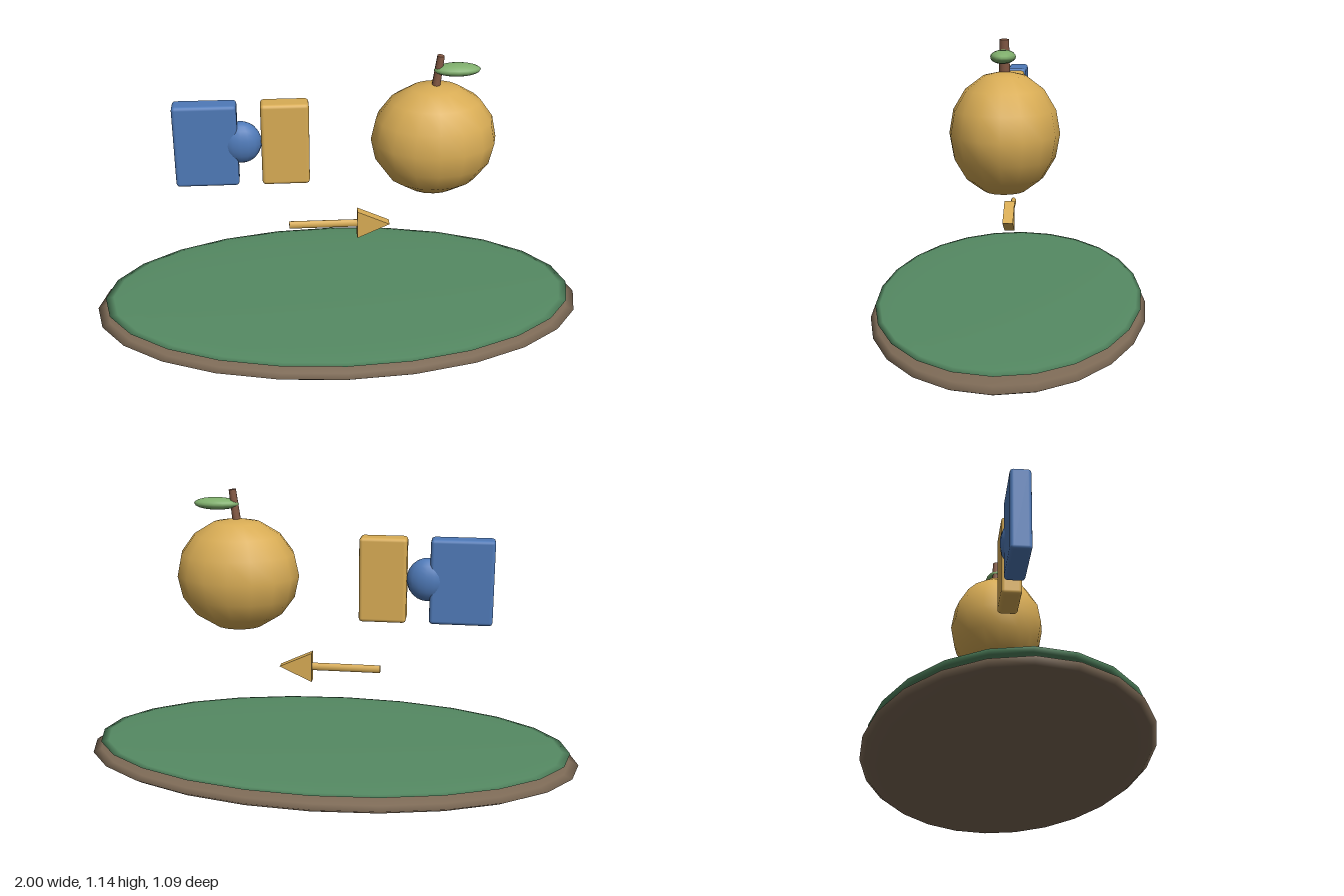
import * as THREE from 'three';
import { RoundedBoxGeometry } from 'three/addons/geometries/RoundedBoxGeometry.js';

const mat = (color, flatShading = false) => new THREE.MeshStandardMaterial({ color, flatShading });
const GOLD = 0xd8ac55, BLUE = 0x4f7ab8, GREEN = 0x558a63, LEAF = 0x7fae6c, EARTH = 0x7d6a56, BARK = 0x855a45;

export function createModel() {
  const group = new THREE.Group();

  const add = (name, geometry, material, x, y, z = 0) => {
    const mesh = new THREE.Mesh(geometry, material);
    mesh.name = name;
    mesh.position.set(x, y, z);
    group.add(mesh);
    return mesh;
  };
  // Sphere squashed to three radii
  const ellipsoid = (name, color, [x, y], [rx, ry, rz], sides, rings) =>
    add(name, new THREE.SphereGeometry(1, sides, rings).scale(rx, ry, rz), mat(color), x, y);

  // Oval ground: earth disc with a thin grass layer on top
  ellipsoid('groundBase', EARTH, [0, 0.058], [1, 0.058, 0.545], 24, 12);
  ellipsoid('grassTop', GREEN, [0, 0.105], [0.965, 0.017, 0.527], 24, 12);

  // Two floating panels joined by a round knob
  const panel = (name, color, x0, x1) =>
    add(name, new RoundedBoxGeometry(x1 - x0, 0.335, 0.08, 2, 0.014), mat(color), (x0 + x1) / 2, 0.797);
  panel('bluePanel', BLUE, -0.635, -0.39);
  panel('goldPanel', GOLD, -0.3, -0.115);
  ellipsoid('knob', BLUE, [-0.378, 0.8], [0.08, 0.085, 0.053], 16, 12);

  // Arrow pointing to +x: round shaft and a flat triangular head
  add('arrowShaft', new THREE.CylinderGeometry(0.016, 0.016, 0.28, 12).rotateZ(Math.PI / 2).scale(1, 1, 0.7),
    mat(GOLD), -0.06, 0.425);
  const tip = new THREE.Shape([[0, -0.06], [0.13, 0], [0, 0.06]].map(([x, y]) => new THREE.Vector2(x, y)));
  add('arrowHead', new THREE.ExtrudeGeometry(tip, { depth: 0.04, bevelEnabled: false }).translate(0, 0, -0.02),
    mat(GOLD, true), 0.075, 0.425);

  // Fruit with a tilted stem and a leaf
  ellipsoid('fruit', GOLD, [0.37, 0.798], [0.245, 0.225, 0.2], 16, 8);
  const stem = add('stem', new THREE.CylinderGeometry(0.014, 0.017, 0.16, 10).scale(1, 1, 1.2), mat(BARK), 0.376, 1.055);
  stem.rotation.z = -0.12;
  ellipsoid('leaf', LEAF, [0.45, 1.078], [0.09, 0.024, 0.045], 16, 10);

  return group;
}
